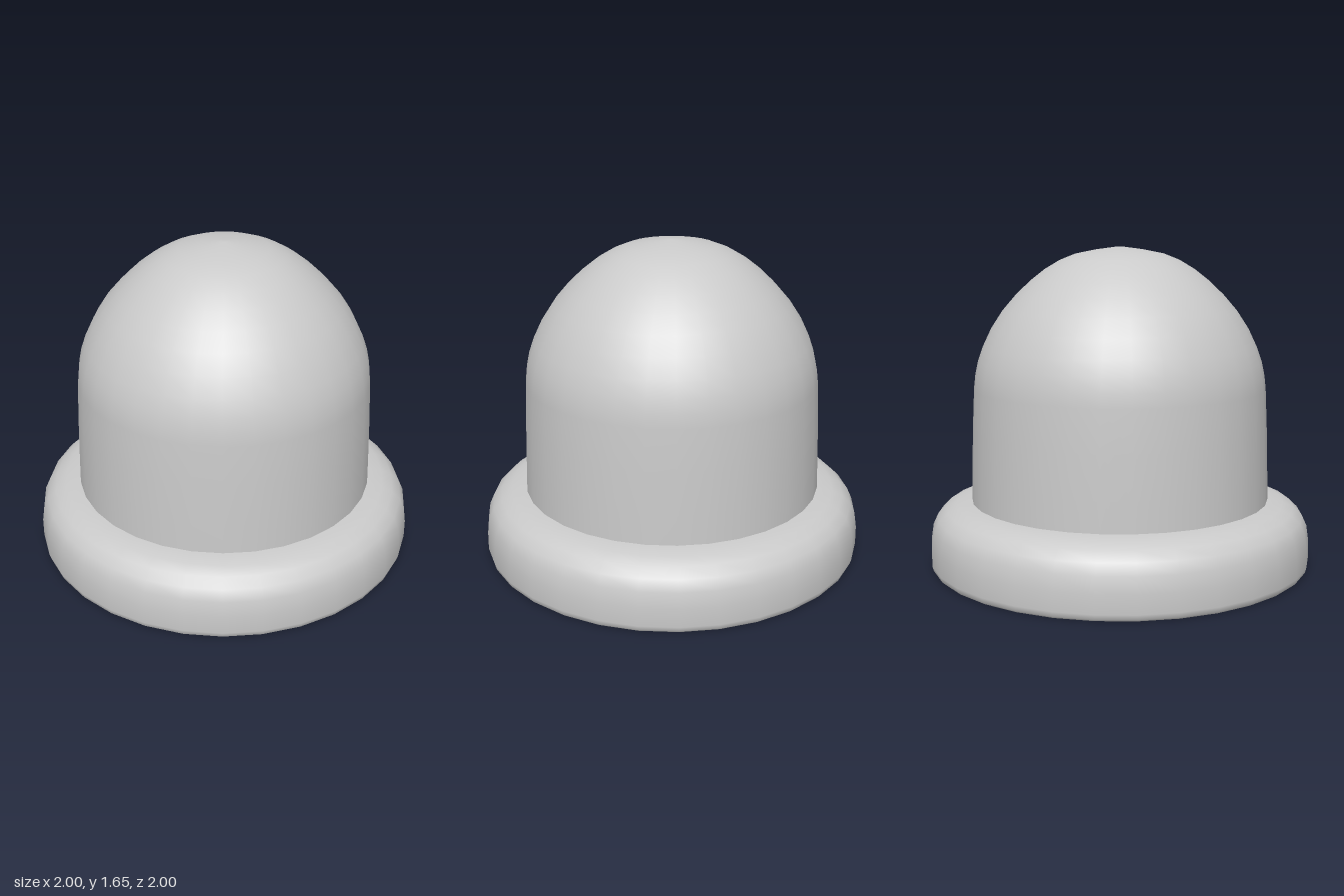
import * as THREE from 'three';

const SEGMENTS = 32;

export function createModel() {
  const group = new THREE.Group();
  const grey = new THREE.MeshStandardMaterial({ color: 0xcacaca, side: THREE.DoubleSide });
  grey.name = 'plain grey';

  // Both parts are thin turned shells; profiles are [radius, y] with the outside facing out.
  const turn = (name, profile) => {
    const points = profile.map(([r, y]) => new THREE.Vector2(r, y));
    const mesh = new THREE.Mesh(new THREE.LatheGeometry(points, SEGMENTS), grey);
    mesh.name = name;
    group.add(mesh);
  };

  // Rounded flange: small lip under the rim, curved wall, top reaching inside the dome
  turn('flange', [
    [0.972, 0.003], [0.98, 0], [0.991, 0.01], [0.998, 0.035], [0.997, 0.13], [0.985, 0.21],
    [0.96, 0.265], [0.915, 0.308], [0.86, 0.332], [0.79, 0.346], [0.7, 0.35],
  ]);

  // Dome, open below, its lower edge hanging down inside the flange
  turn('dome', [
    [0.786, 0.125], [0.78, 0.345], [0.776, 0.5], [0.769, 0.72], [0.759, 0.93], [0.751, 1.0],
    [0.736, 1.07], [0.71, 1.145], [0.665, 1.24], [0.605, 1.332], [0.536, 1.412], [0.463, 1.482],
    [0.387, 1.542], [0.31, 1.588], [0.23, 1.62], [0.12, 1.642], [0.02, 1.655], [0, 1.655],
  ]);

  return group;
}
